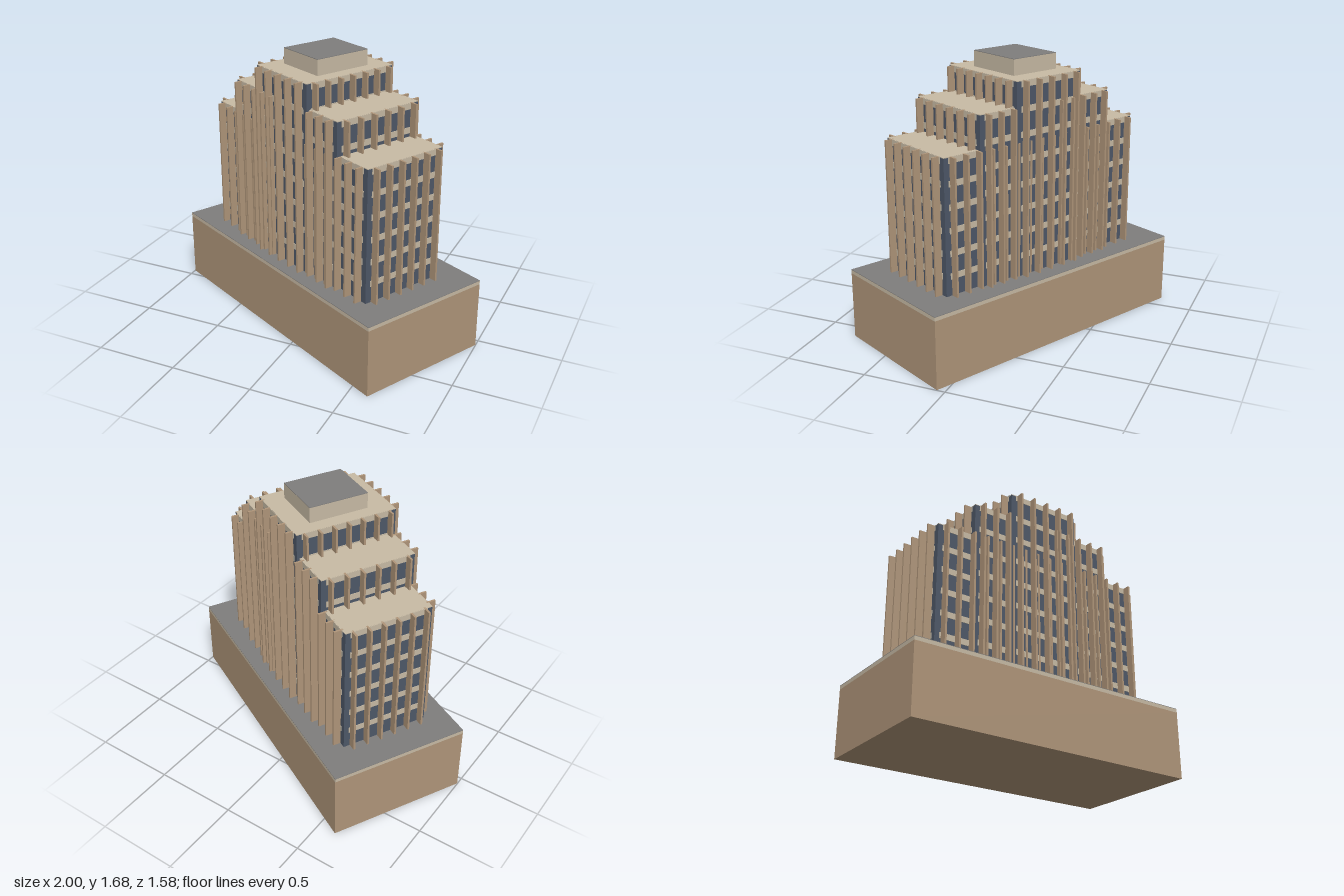
import * as THREE from 'three';

const material = (name, color) => {
  const m = new THREE.MeshStandardMaterial({ color });
  m.name = name;
  return m;
};

export function createModel() {
  const tan = material('tan stone', 0xb0967a);
  const cream = material('cream stone', 0xc8bba5);
  const glass = material('blue grey glass', 0x4e5868);
  const grey = material('grey roofing', 0x7f7e7d);

  const model = new THREE.Group();
  model.name = 'steppedOfficeTower';

  // Box placed by its bottom and top heights
  const box = (parent, name, mat, w, y0, y1, d, x = 0, z = 0) => {
    const mesh = new THREE.Mesh(new THREE.BoxGeometry(w, y1 - y0, d), mat);
    mesh.position.set(x, (y0 + y1) / 2, z);
    mesh.name = name;
    parent.add(mesh);
  };

  // The whole block stands at an angle to the axes
  const building = new THREE.Group();
  building.name = 'building';
  building.rotation.y = -0.481;
  model.add(building);

  // Podium with a pale coping and grey deck
  const deck = 0.435;
  box(building, 'podium', tan, 1.816, 0, 0.41, 0.836);
  box(building, 'podiumCoping', cream, 1.816, 0.41, deck - 0.003, 0.836);
  box(building, 'podiumDeck', grey, 1.816, deck - 0.003, deck, 0.836);

  // Tiers: half sizes, top height, floors, fins on long and short sides
  const tiers = [
    { name: 'lowTier', hx: 0.71, hz: 0.266, top: 1.235, floors: 6, nx: 16, nz: 6 },
    { name: 'middleTier', hx: 0.48, hz: 0.287, top: 1.435, floors: 7, nx: 11, nz: 6 },
    { name: 'highTier', hx: 0.236, hz: 0.306, top: 1.585, floors: 8, nx: 5, nz: 7 },
  ];
  const finDepth = 0.045, finWidth = 0.012, overlap = 0.01;

  for (const t of tiers) {
    const tier = new THREE.Group();
    tier.name = t.name;
    tier.position.z = 0.008;
    building.add(tier);

    box(tier, 'glassWalls', glass, 2 * t.hx, deck, t.top - 0.004, 2 * t.hz);
    box(tier, 'roof', cream, 2 * t.hx, t.top - 0.004, t.top, 2 * t.hz);

    // Spandrel band at the top of every floor
    const step = (t.top - deck) / t.floors;
    for (let i = 1; i <= t.floors; i++) {
      const y1 = deck + i * step - (i === t.floors ? 0.001 : 0);
      box(tier, 'longSpandrel', cream, 2 * t.hx - 0.06, y1 - 0.036, y1, 2 * t.hz + 0.006);
      box(tier, 'endSpandrel', cream, 2 * t.hx + 0.006, y1 - 0.036, y1, 2 * t.hz - 0.06);
    }

    // Vertical fins, one at the centre of each bay
    const out = (finDepth - overlap) / 2;
    for (const side of [-1, 1]) {
      for (let i = 0; i < t.nx; i++) {
        const x = t.hx * (2 * (i + 0.5) / t.nx - 1);
        box(tier, 'longFin', tan, finWidth, deck, t.top, finDepth + overlap, x, side * (t.hz + out));
      }
      for (let i = 0; i < t.nz; i++) {
        const z = t.hz * (2 * (i + 0.5) / t.nz - 1);
        box(tier, 'endFin', tan, finDepth + overlap, deck, t.top, finWidth, side * (t.hx + out), z);
      }
    }
  }

  // Rooftop plant room
  box(building, 'plantRoom', cream, 0.315, 1.58, 1.677, 0.358);
  box(building, 'plantRoomRoof', grey, 0.315, 1.677, 1.68, 0.358);

  return model;
}
